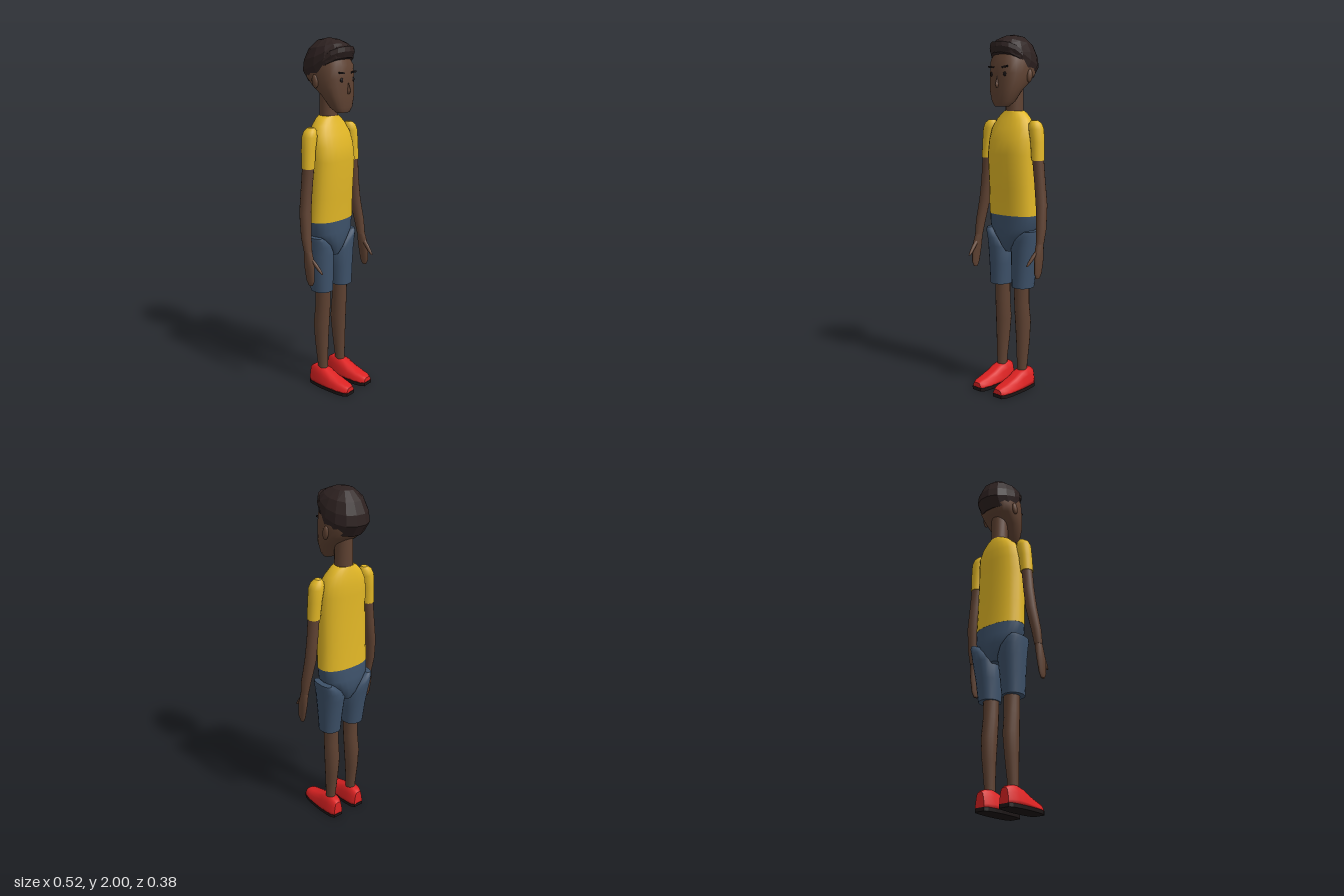
import * as THREE from 'three';

const mat = (name, color) => {
  const m = new THREE.MeshStandardMaterial({ color });
  m.name = name;
  return m;
};

// Skin a list of closed rings (each a list of [x, y, z]) and cap both ends
function skin(rings, faceted = false) {
  const n = rings[0].length, pos = rings.flat(2), idx = [];
  for (let r = 0; r < rings.length - 1; r++) {
    for (let i = 0; i < n; i++) {
      const a = r * n + i, b = r * n + (i + 1) % n;
      idx.push(a, a + n, b, b, a + n, b + n);
    }
  }
  [rings[0], rings[rings.length - 1]].forEach((ring, end) => {
    const c = pos.length / 3;
    const mid = [0, 1, 2].map(k => ring.reduce((s, p) => s + p[k], 0) / n);
    pos.push(...mid, ...ring.flat());
    for (let i = 0; i < n; i++) {
      const a = c + 1 + i, b = c + 1 + (i + 1) % n;
      if (end) idx.push(c, b, a); else idx.push(c, a, b);
    }
  });
  let g = new THREE.BufferGeometry();
  g.setAttribute('position', new THREE.Float32BufferAttribute(pos, 3));
  g.setIndex(idx);
  if (faceted) g = g.toNonIndexed();
  g.computeVertexNormals();
  return g;
}

// Superellipse ring around the y axis
function oval(y, cx, cz, rx, rz, seg, power) {
  const bend = v => Math.sign(v) * Math.abs(v) ** (2 / power);
  return Array.from({ length: seg }, (_, i) => {
    const a = i / seg * Math.PI * 2;
    return [cx + rx * bend(Math.cos(a)), y, cz + rz * bend(Math.sin(a))];
  });
}

// Limb or body through sections [y, x, z, halfWidth, halfDepth], listed bottom to top
const loft = (sections, s = 1, seg = 18, power = 2) =>
  skin(sections.map(([y, x, z, rx, rz]) => oval(y, x * s, z, rx, rz, seg, power)));

// Height of the hairline, falling from the forehead to the nape
function hairline(z) {
  const pts = [[-0.2, 1.76], [-0.13, 1.765], [-0.02, 1.815], [0.04, 1.875], [0.09, 1.9], [0.2, 1.92]];
  const k = pts.findIndex((p, i) => i > 0 && z <= p[0]);
  const [a, b] = [pts[k - 1], pts[k]];
  return a[1] + (b[1] - a[1]) * (z - a[0]) / (b[0] - a[0]);
}

export function createModel() {
  const group = new THREE.Group();
  const skinTone = mat('brown skin', 0x5f4232);
  const shirt = mat('yellow cotton', 0xe2b726);
  const denim = mat('blue denim', 0x3d5169);
  const hair = mat('dark hair', 0x2d2120);
  const red = mat('red shoe', 0xdc2222);
  const dark = mat('near black', 0x1b1515);
  const add = (name, geometry, material) => {
    const m = new THREE.Mesh(geometry, material);
    m.name = name;
    group.add(m);
    return m;
  };

  // Torso
  add('shirtBody', loft([
    [1.01, 0, -0.03, 0.155, 0.09], [1.15, 0, -0.024, 0.151, 0.09], [1.35, 0, -0.015, 0.15, 0.095],
    [1.43, 0, -0.021, 0.147, 0.09], [1.49, 0, -0.03, 0.138, 0.08], [1.54, 0, -0.037, 0.112, 0.066],
    [1.575, 0, -0.04, 0.078, 0.054], [1.588, 0, -0.04, 0.055, 0.05]], 1, 24, 2.3), shirt);
  add('shortsHips', loft([
    [0.8, 0, -0.035, 0.03, 0.06], [0.84, 0, -0.036, 0.062, 0.082], [0.89, 0, -0.036, 0.105, 0.093],
    [0.94, 0, -0.035, 0.148, 0.094], [1.02, 0, -0.03, 0.154, 0.088]], 1, 24, 2.3), denim);
  add('neck', loft([[1.55, 0, -0.04, 0.05, 0.05], [1.74, 0, -0.04, 0.048, 0.05]]), skinTone);

  // Head
  add('head', loft([
    [1.612, 0, 0.063, 0.045, 0.025], [1.64, 0, 0.05, 0.07, 0.048], [1.7, 0, 0.03, 0.096, 0.07],
    [1.75, 0, -0.005, 0.108, 0.105], [1.79, 0, -0.025, 0.114, 0.125],
    [1.86, 0, -0.03, 0.112, 0.125], [1.92, 0, -0.035, 0.08, 0.1]], 1, 20, 2.4), skinTone);
  add('nose', skin([
    [1.712, 0.013, 0.108], [1.728, 0.014, 0.117], [1.775, 0.006, 0.1]].map(([y, w, z]) =>
    [[w, y, 0.085], [0, y, z], [-w, y, 0.085]]), true), skinTone);

  // Hair cap: rings of [halfWidth, centreZ, halfDepth, share of the height to the crown]
  add('hair', skin([
    [0.112, -0.022, 0.122, 0], [0.121, -0.04, 0.145, 0.27], [0.115, -0.04, 0.138, 0.5],
    [0.093, -0.04, 0.11, 0.75], [0.05, -0.038, 0.06, 0.94], [0.002, -0.035, 0.002, 1]
  ].map(([rx, cz, rz, t]) => oval(0, 0, cz, rx, rz, 14, 2.1).map(([x, , z]) => {
    const y = hairline(z);
    return [x, y + (2 - y) * t, z];
  })), true), hair);

  // Raised fringe around the forehead
  const fringe = [];
  for (let i = 0; i <= 8; i++) {
    const a = Math.PI * (0.12 + 0.76 * i / 8), c = Math.cos(a), s = Math.sin(a);
    const lift = hairline(-0.035 + 0.14 * s);
    fringe.push([[1, 0.055], [1.03, 0.03], [0.94, -0.003], [0.8, 0], [0.8, 0.06]]
      .map(([r, h]) => [0.118 * r * c, lift + h, -0.035 + 0.143 * r * s]));
  }
  add('fringe', skin(fringe, true), hair);

  for (const s of [1, -1]) {
    const side = s > 0 ? 'left' : 'right';

    // Face details
    const eye = add(side + 'Eye', new THREE.SphereGeometry(0.012, 12, 8), dark);
    eye.scale.z = 0.35;
    eye.position.set(0.047 * s, 1.785, 0.093);
    const brow = add(side + 'Eyebrow', new THREE.BoxGeometry(0.042, 0.009, 0.009), dark);
    brow.position.set(0.049 * s, 1.823, 0.094);
    brow.rotation.z = 0.1 * s;
    const ear = add(side + 'Ear', new THREE.SphereGeometry(1, 10, 8), skinTone);
    ear.scale.set(0.013, 0.037, 0.02);
    ear.position.set(0.114 * s, 1.777, -0.035);
    ear.rotation.x = -0.15;

    // Arm
    add(side + 'Sleeve', loft([
      [1.322, 0.188, -0.022, 0.035, 0.038], [1.42, 0.181, -0.025, 0.038, 0.04],
      [1.49, 0.171, -0.026, 0.042, 0.043], [1.52, 0.164, -0.026, 0.036, 0.036],
      [1.538, 0.158, -0.026, 0.018, 0.02]], s), shirt);
    add(side + 'Arm', loft([
      [0.87, 0.233, 0.012, 0.022, 0.024], [0.95, 0.231, -0.002, 0.027, 0.03],
      [1.08, 0.215, -0.022, 0.031, 0.034], [1.2, 0.201, -0.024, 0.03, 0.033],
      [1.34, 0.187, -0.022, 0.031, 0.034]], s, 14), skinTone);
    add(side + 'Hand', loft([
      [0.682, 0.238, 0.035, 0.008, 0.014], [0.71, 0.239, 0.034, 0.013, 0.028],
      [0.79, 0.238, 0.026, 0.018, 0.035], [0.85, 0.234, 0.016, 0.02, 0.028],
      [0.885, 0.233, 0.011, 0.019, 0.021]], s, 12), skinTone);
    add(side + 'Thumb', loft([
      [0.757, 0.221, 0.103, 0.005, 0.007], [0.775, 0.223, 0.086, 0.009, 0.013],
      [0.81, 0.228, 0.055, 0.011, 0.016], [0.84, 0.232, 0.025, 0.01, 0.014]], s, 10), skinTone);

    // Leg
    add(side + 'ShortsLeg', loft([
      [0.6, 0.083, -0.02, 0.06, 0.064], [0.72, 0.085, -0.027, 0.068, 0.073],
      [0.82, 0.088, -0.035, 0.077, 0.083], [0.87, 0.104, -0.038, 0.064, 0.086],
      [0.905, 0.128, -0.038, 0.043, 0.082], [0.925, 0.143, -0.038, 0.026, 0.07]], s, 18, 2.2), denim);
    add(side + 'Leg', loft([
      [0.08, 0.078, -0.02, 0.028, 0.03], [0.14, 0.078, -0.021, 0.029, 0.031],
      [0.28, 0.077, -0.029, 0.037, 0.042], [0.39, 0.075, -0.031, 0.043, 0.048],
      [0.5, 0.073, -0.022, 0.042, 0.045], [0.63, 0.073, -0.02, 0.043, 0.046]], s, 16), skinTone);

    // Shoe upper, from heel to toe: [z, halfWidth, height]
    const shoe = [[-0.095, 0.03, 0.1], [-0.075, 0.043, 0.113], [-0.03, 0.05, 0.122], [0.02, 0.054, 0.108],
      [0.07, 0.054, 0.083], [0.13, 0.052, 0.064], [0.172, 0.044, 0.055], [0.192, 0.031, 0.046]];
    const arch = [[0.3, 1], [0.64, 0.92], [0.85, 0.6], [1, 0.2], [1, 0]];
    const half = arch.concat(arch.slice().reverse().map(([u, v]) => [-u, v]));
    add(side + 'Shoe', skin(shoe.map(([z, w, h]) =>
      half.map(([u, v]) => [0.08 * s + u * w, 0.018 + v * (h - 0.018), z]))), red);

    // Dark sole following the same outline
    add(side + 'Sole', skin(shoe.map(([z, w]) =>
      [[1, 0.02], [1, 0], [-1, 0], [-1, 0.02]].map(([u, y]) =>
        [0.08 * s + u * (w + 0.001), y, z * 1.01])), true), dark);
  }
  return group;
}
